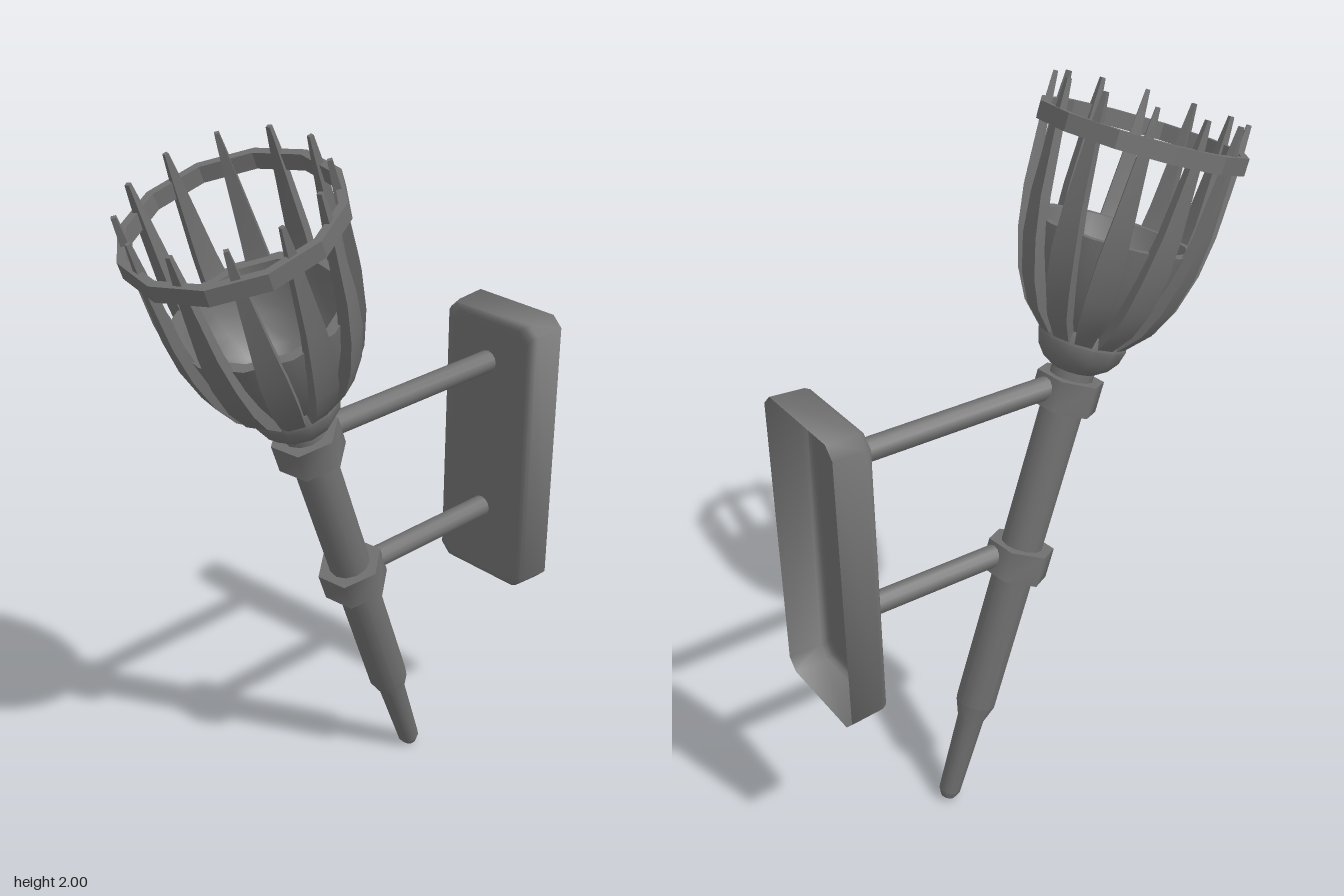
import * as THREE from 'three';
import { toCreasedNormals } from 'three/addons/utils/BufferGeometryUtils.js';

const material = new THREE.MeshStandardMaterial({ color: 0x707070 });
const openMaterial = new THREE.MeshStandardMaterial({ color: 0x707070, side: THREE.DoubleSide });

function addMesh(parent, name, geometry, mat = material) {
  const mesh = new THREE.Mesh(geometry, mat);
  mesh.name = name;
  parent.add(mesh);
  return mesh;
}

// Skin a list of equal-length closed rings; caps are optional
function loft(rings, capStart, capEnd, crease) {
  const n = rings[0].length, index = [];
  for (let k = 0; k < rings.length - 1; k++) {
    for (let i = 0; i < n; i++) {
      const j = (i + 1) % n, a = k * n, b = a + n;
      index.push(a + i, a + j, b + j, a + i, b + j, b + i);
    }
  }
  const last = (rings.length - 1) * n;
  for (let i = 1; i < n - 1; i++) {
    if (capStart) index.push(0, i + 1, i);
    if (capEnd) index.push(last, last + i, last + i + 1);
  }
  const geometry = new THREE.BufferGeometry();
  geometry.setAttribute('position', new THREE.Float32BufferAttribute(rings.flat(2), 3));
  geometry.setIndex(index);
  return toCreasedNormals(geometry, crease);
}

// Turned part from [radius, height] pairs
function turned(profile, crease = 0.6, sides = 12) {
  const points = profile.map(([r, y]) => new THREE.Vector2(r, y));
  return toCreasedNormals(new THREE.LatheGeometry(points, sides), crease);
}

// Wall plate outline with cut corners
function plateRing([z, inset]) {
  const w = 0.165 - inset, h = 0.419 - inset, c = 0.03;
  return [
    [w, -h + c], [w, h - c], [w - c, h], [-w + c, h],
    [-w, h - c], [-w, -h + c], [-w + c, -h], [w - c, -h],
  ].map(([x, y]) => [x, y, z]);
}

export function createModel() {
  const model = new THREE.Group();
  model.name = 'wallTorch';

  // Wall bracket: hollow plate with a rounded front edge, open at the back, and two rods
  const bracket = new THREE.Group();
  bracket.name = 'wallBracket';
  model.add(bracket);
  const plateSteps = [
    [-0.642, 0], [-0.55, 0.004], [-0.537, 0.009], [-0.532, 0.017], [-0.53, 0.026], [-0.53, 0.04],
  ];
  const plate = addMesh(bracket, 'wallPlate', loft(plateSteps.map(plateRing), false, true, 0.9), openMaterial);
  plate.position.set(-0.018, 0.943, 0);
  for (const [name, y, zEnd] of [['upperRod', 1.217, 0.12], ['lowerRod', 0.755, -0.04]]) {
    const length = zEnd + 0.529;
    const rod = addMesh(bracket, name, new THREE.CylinderGeometry(0.031, 0.031, length, 12));
    rod.rotation.x = Math.PI / 2;
    rod.position.set(-0.016, y, zEnd - length / 2);
  }

  // Torch, built upright and then leaned forward
  const torch = new THREE.Group();
  torch.name = 'torch';
  torch.position.set(-0.05, 0.01, -0.285);
  const axis = new THREE.Vector3(0.05, 1.81, 0.656).normalize();
  torch.quaternion.setFromUnitVectors(new THREE.Vector3(0, 1, 0), axis);
  torch.rotateY(THREE.MathUtils.degToRad(6));
  model.add(torch);

  addMesh(torch, 'handle', turned([
    [0, 0], [0.02, 0.002], [0.031, 0.025], [0.038, 0.262], [0.056, 0.315], [0.059, 1.34], [0, 1.34],
  ]));

  // Six-sided clamps around the handle, softly shaded around the sides
  for (const [name, y] of [['lowerCollar', 0.764], ['upperCollar', 1.253]]) {
    const collar = addMesh(torch, name, toCreasedNormals(
      new THREE.CylinderGeometry(0.093, 0.093, 0.085, 6, 1, false, Math.PI / 6), 1.1));
    collar.position.y = y;
  }

  addMesh(torch, 'bowlFoot', turned([
    [0, 1.318], [0.062, 1.318], [0.089, 1.336], [0.111, 1.365], [0.121, 1.4], [0.115, 1.435], [0, 1.435],
  ]));

  // Bowl with a thick rim and a rounded hollow
  addMesh(torch, 'bowl', turned([
    [0.09, 1.41], [0.14, 1.465], [0.182, 1.54], [0.212, 1.62], [0.228, 1.69],
    [0.198, 1.69], [0.185, 1.63], [0.16, 1.56], [0.115, 1.5], [0.06, 1.47], [0, 1.46],
  ]));

  // Cage ring
  addMesh(torch, 'cageRing', turned([
    [0.274, 1.914], [0.274, 1.958], [0.252, 1.958], [0.252, 1.914], [0.274, 1.914],
  ], 0.4));

  // Curved, tapering cage spikes: [height, outer radius, width, thickness]
  const spikeGeometry = loft([
    [1.405, 0.115, 0.045, 0.03], [1.466, 0.172, 0.058, 0.035], [1.54, 0.209, 0.068, 0.035],
    [1.64, 0.237, 0.067, 0.032], [1.745, 0.251, 0.052, 0.028], [1.935, 0.257, 0.026, 0.022],
    [2.03, 0.254, 0.011, 0.012],
  ].map(([y, r, w, t]) => [
    [w / 2, y, r], [w / 2, y, r - t], [-w / 2, y, r - t], [-w / 2, y, r],
  ]), true, true, 0.5);
  for (let i = 0; i < 12; i++) {
    const spike = addMesh(torch, 'cageSpike', spikeGeometry);
    spike.rotation.y = (i + 0.5) * Math.PI / 6;
  }

  return model;
}
